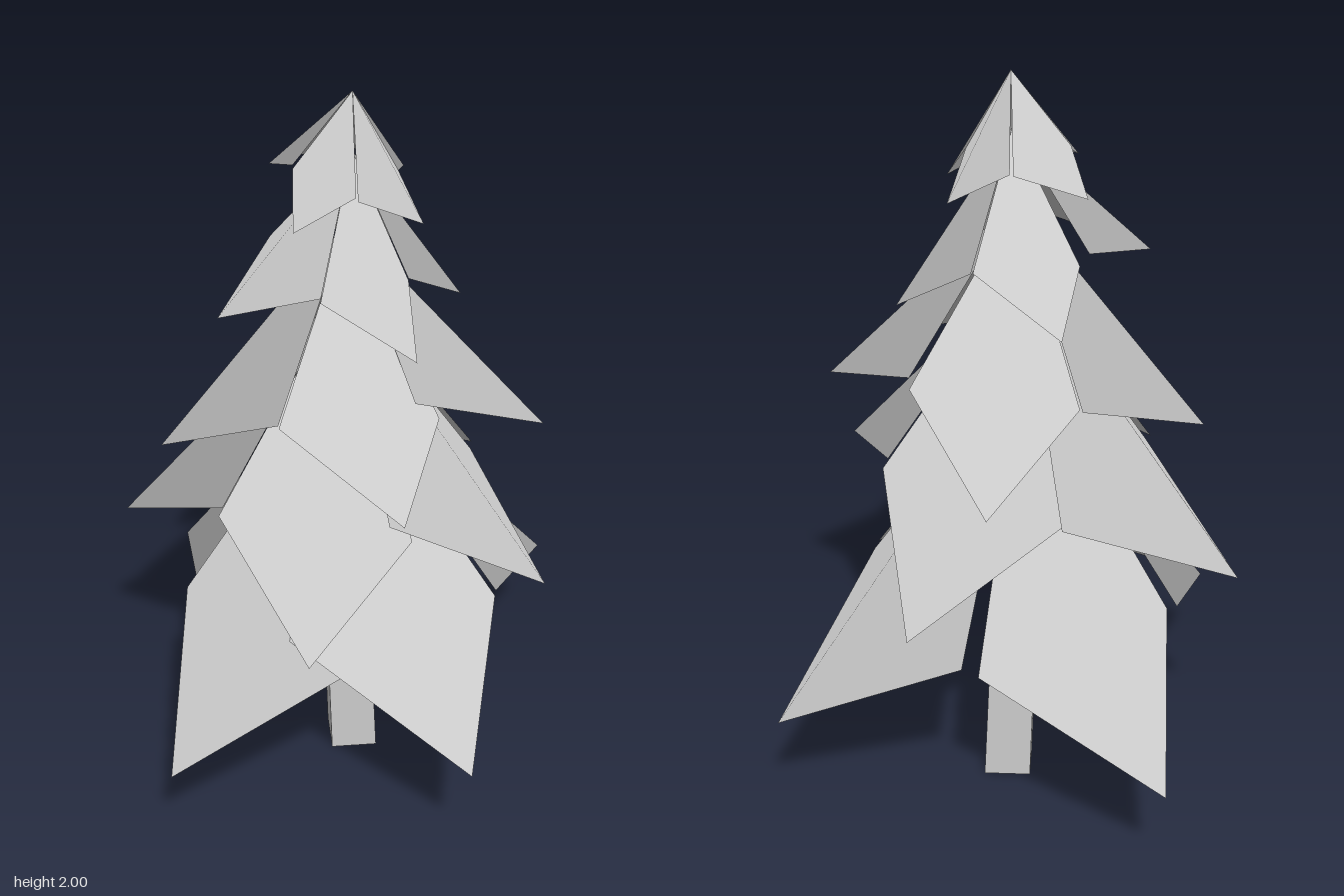
import * as THREE from 'three';

// One pointed needle panel: a bent four-corner sheet, folded along apex-tip and shaded as one facet
function makePanel(apex, left, tip, right, material) {
  const [a, l, t, r] = [apex, left, tip, right].map((p) => new THREE.Vector3(...p));
  const n = t.clone().sub(a).cross(r.clone().sub(l)).normalize();
  const geometry = new THREE.BufferGeometry().setFromPoints([a, l, t, r]);
  const normals = [n, n, n, n].flatMap((v) => v.toArray());
  geometry.setAttribute('normal', new THREE.Float32BufferAttribute(normals, 3));
  geometry.setIndex([0, 1, 2, 0, 2, 3]);
  return new THREE.Mesh(geometry, material);
}

// A tier: four panels hanging from one apex, each given as left corner, tip, right corner
function makeTier(name, apex, panels, material) {
  const tier = new THREE.Group();
  tier.name = name;
  panels.forEach(([left, tip, right], i) => {
    const panel = makePanel(apex, left, tip, right, material);
    panel.name = `needlePanel${i + 1}`;
    tier.add(panel);
  });
  return tier;
}

// Square trunk, tapering and leaning slightly as it rises
function makeTrunk() {
  const height = 1.1;
  const geometry = new THREE.CylinderGeometry(0.05, 0.0865, height, 4, 2, false, -0.55);
  geometry.translate(0, height / 2, 0);
  const pos = geometry.attributes.position;
  for (let i = 0; i < pos.count; i++) {
    const y = pos.getY(i);
    // keep the lower half nearly full width, narrowing only above
    const k = Math.abs(y - height / 2) < 0.01 ? 1.2 : 1;
    pos.setXYZ(i, pos.getX(i) * k + 0.04 - 0.036 * y, y, pos.getZ(i) * k - 0.093 + 0.03 * y * y);
  }
  const material = new THREE.MeshStandardMaterial({ color: 0xcccccc, flatShading: true });
  const trunk = new THREE.Mesh(geometry, material);
  trunk.name = 'trunk';
  return trunk;
}

export function createModel() {
  const tree = new THREE.Group();
  tree.name = 'firTree';
  const needles = new THREE.MeshStandardMaterial({ color: 0xcccccc, side: THREE.DoubleSide });

  tree.add(makeTrunk());

  // Tiers from the ground up, panels running counterclockwise from the front
  tree.add(makeTier('bottomTier', [0.01, 1.22, -0.04], [
    [[-0.395, 0.53, 0], [-0.35, 0.3, 0.505], [0.07, 0.52, 0.31]],
    [[-0.08, 0.61, 0.29], [0.42, 0.38, 0.49], [0.43, 0.585, 0]],
    [[0.43, 0.58, -0.03], [0.515, 0.36, -0.555], [0.05, 0.555, -0.46]],
    [[0, 0.555, -0.48], [-0.5, 0.325, -0.53], [-0.375, 0.54, -0.03]],
  ], needles));

  tree.add(makeTier('lowerTier', [0.02, 1.47, -0.02], [
    [[-0.265, 0.915, 0.2], [0.02, 0.755, 0.58], [0.23, 0.905, 0.23]],
    [[0.18, 0.99, 0.295], [0.565, 0.79, 0.205], [0.34, 0.945, -0.15]],
    [[0.34, 0.94, -0.19], [0.15, 0.7, -0.58], [-0.17, 0.92, -0.29]],
    [[-0.17, 0.92, -0.32], [-0.57, 0.71, -0.09], [-0.26, 0.92, 0.17]],
  ], needles));

  tree.add(makeTier('middleTier', [0.03, 1.66, -0.02], [
    [[-0.105, 1.205, 0.22], [0.23, 1.08, 0.42], [0.28, 1.205, 0.12]],
    [[0.225, 1.275, 0.17], [0.53, 1.11, -0.04], [0.245, 1.245, -0.24]],
    [[0.235, 1.23, -0.27], [-0.035, 1.04, -0.51], [-0.18, 1.2, -0.2]],
    [[-0.19, 1.2, -0.21], [-0.43, 1.04, 0.085], [-0.11, 1.2, 0.2]],
  ], needles));

  tree.add(makeTier('upperTier', [0.04, 1.85, -0.03], [
    [[-0.01, 1.53, 0.155], [0.23, 1.41, 0.2], [0.19, 1.55, 0.05]],
    [[0.19, 1.555, 0.05], [0.3, 1.4, -0.165], [0.09, 1.54, -0.215]],
    [[0.08, 1.55, -0.23], [-0.165, 1.445, -0.315], [-0.16, 1.56, -0.14]],
    [[-0.17, 1.57, -0.09], [-0.26, 1.475, 0.165], [-0.01, 1.54, 0.15]],
  ], needles));

  tree.add(makeTier('topTier', [0.04, 2, -0.04], [
    [[-0.1, 1.8, -0.01], [-0.075, 1.715, 0.155], [0.065, 1.78, 0.08]],
    [[0.07, 1.77, 0.08], [0.22, 1.685, 0.01], [0.15, 1.79, -0.055]],
    [[0.15, 1.79, -0.055], [0.145, 1.72, -0.22], [0.005, 1.79, -0.17]],
    [[-0.005, 1.79, -0.175], [-0.18, 1.74, -0.145], [-0.1, 1.81, -0.01]],
  ], needles));

  return tree;
}
